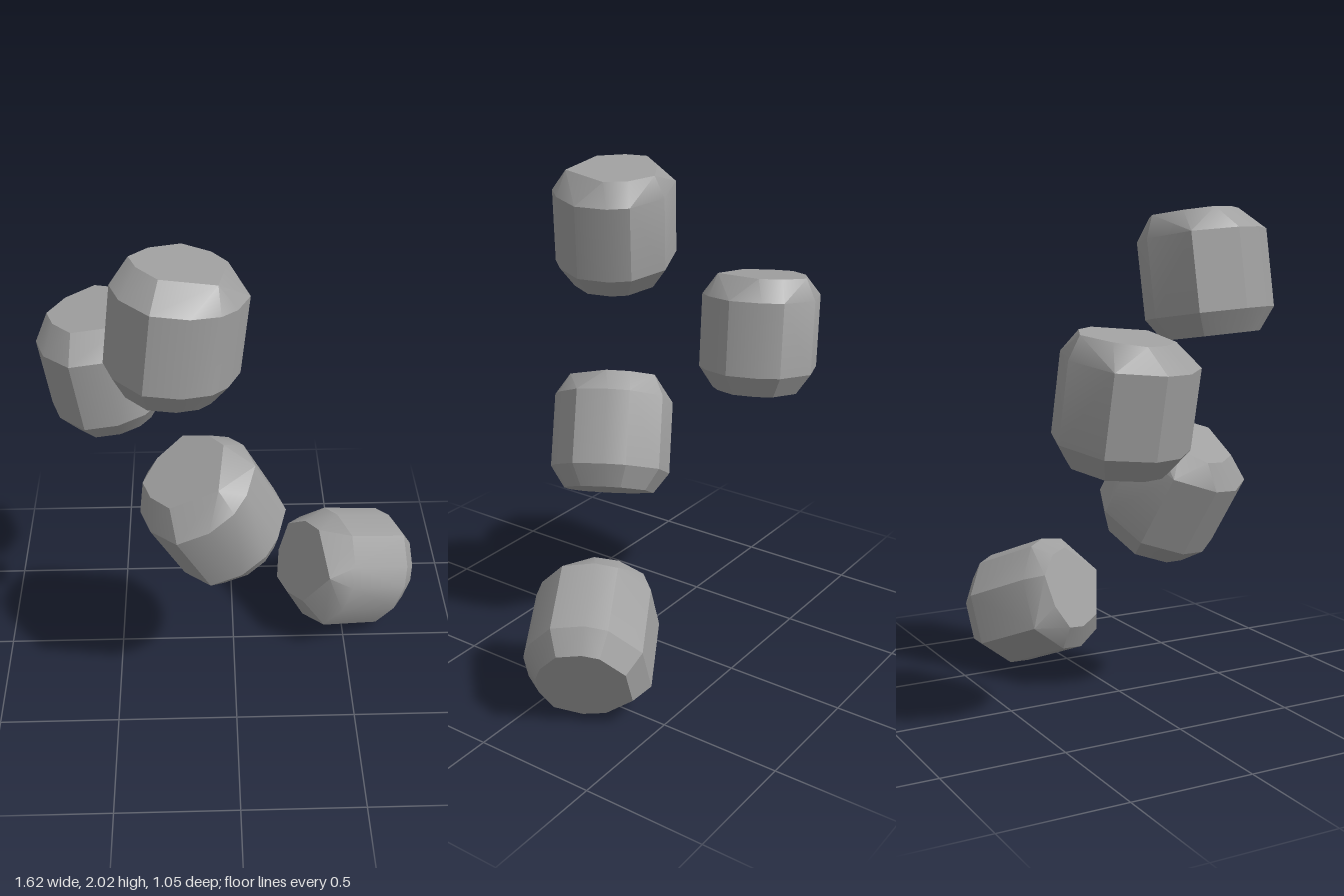
import * as THREE from 'three';
import { ConvexGeometry } from 'three/addons/geometries/ConvexGeometry.js';
import { toCreasedNormals } from 'three/addons/utils/BufferGeometryUtils.js';

// Outline of the stone's flank, its smaller top cap and its bottom cap, as [x, z]
const flank = [[-0.25, 0.02], [-0.21, -0.17], [-0.01, -0.25], [0.16, -0.2], [0.22, -0.13], [0.26, 0],
  [0.21, 0.13], [0.15, 0.2], [0.04, 0.25], [-0.1, 0.25], [-0.21, 0.14]];
const topCap = [[-0.19, -0.04], [-0.12, -0.14], [0, -0.21], [0.11, -0.16], [0.17, -0.08], [0.13, 0.14],
  [-0.08, 0.14], [-0.16, 0.05]];
const bottomCap = flank.map(([x, z]) => [x * 0.75, z * 0.75]);

const ring = (outline, y) => outline.map(([x, z]) => new THREE.Vector3(x, y, z));

export function createModel() {
  const model = new THREE.Group();
  const grey = new THREE.MeshStandardMaterial({ color: 0xa0a0a0 });
  grey.name = 'stone grey';

  // One chunky barrel-shaped stone with bevelled ends
  const stone = toCreasedNormals(new ConvexGeometry([
    ...ring(topCap, 0.245), ...ring(flank, 0.155), ...ring(flank, -0.155), ...ring(bottomCap, -0.245),
  ]), 0.45);

  // Four tumbling copies: name, centre, direction of the stone's top
  const up = new THREE.Vector3(0, 1, 0);
  const stones = [
    ['highestStone', [-0.22, 1.75, 0.265], [0.12, 1, -0.06]],
    ['upperStone', [-0.53, 1.3, -0.27], [-0.14, 1, 0.06]],
    ['middleStone', [-0.09, 0.87, 0.19], [-0.48, 1, 0.27]],
    ['lowestStone', [0.51, 0.285, -0.155], [-1, 0.45, 0.55]],
  ];
  for (const [name, centre, axis] of stones) {
    const mesh = new THREE.Mesh(stone, grey);
    mesh.name = name;
    mesh.position.set(...centre);
    mesh.quaternion.setFromUnitVectors(up, new THREE.Vector3(...axis).normalize());
    model.add(mesh);
  }
  return model;
}
